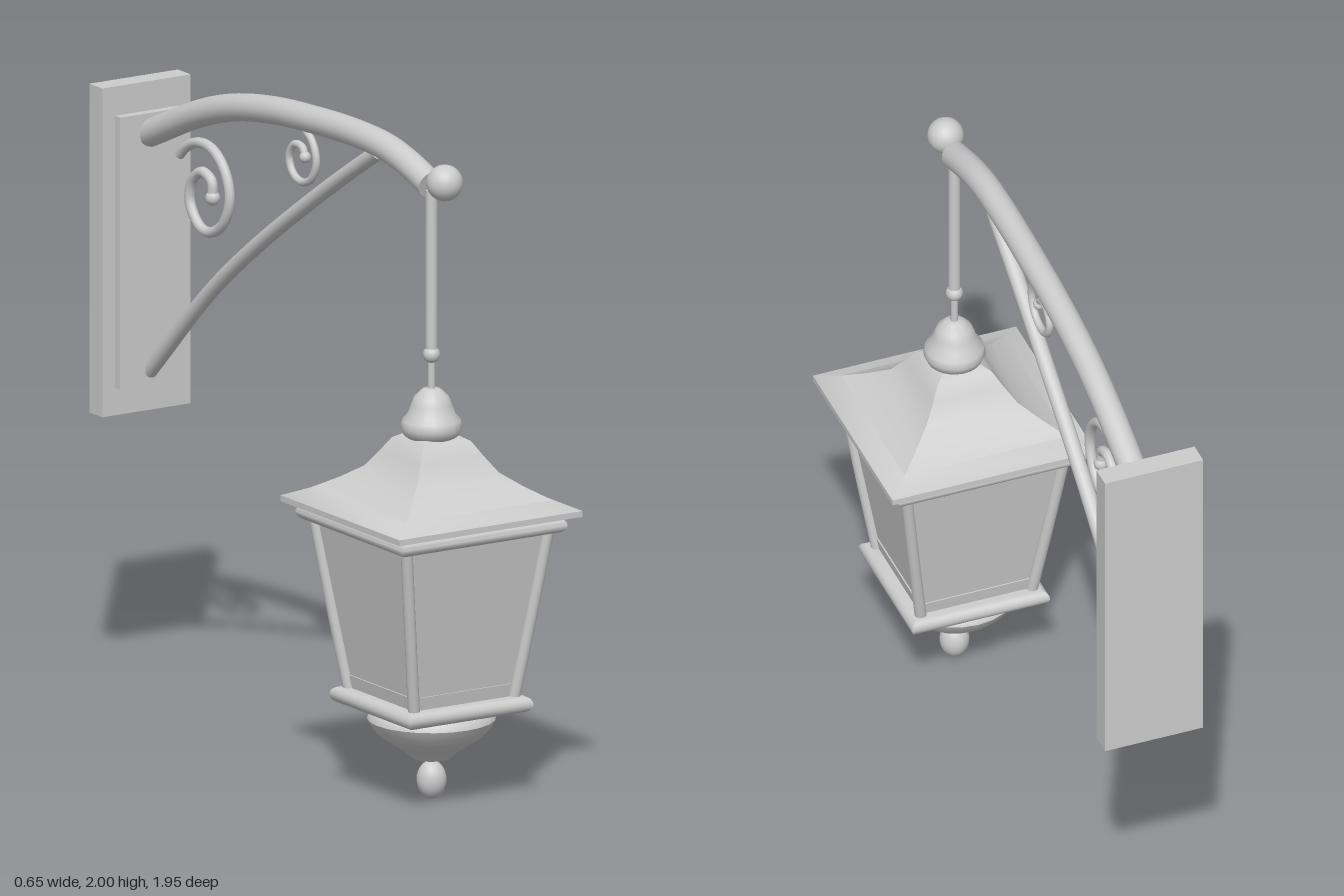
import * as THREE from 'three';
import { toCreasedNormals } from 'three/addons/utils/BufferGeometryUtils.js';

const LAMP_Z = 0.65;

export function createModel() {
  const model = new THREE.Group();
  model.name = 'wallLantern';
  const metal = new THREE.MeshStandardMaterial({ color: 0xcccccc });
  metal.name = 'light grey';

  function add(name, geometry, x = 0, y = 0, z = 0, parent = model) {
    const mesh = new THREE.Mesh(geometry, metal);
    mesh.name = name;
    mesh.position.set(x, y, z);
    parent.add(mesh);
    return mesh;
  }

  // Round bar along a smooth path, closed with a disc at each end
  function bar(name, points, radius, segments = 32, sides = 16, parent = model) {
    const curve = new THREE.CatmullRomCurve3(points);
    const group = new THREE.Group();
    group.name = name;
    parent.add(group);
    add(name + 'Tube', new THREE.TubeGeometry(curve, segments, radius, sides), 0, 0, 0, group);
    for (const t of [0, 1]) {
      const p = curve.getPointAt(t);
      const out = curve.getTangentAt(t).multiplyScalar(t ? 1 : -1);
      const cap = add(name + 'Cap', new THREE.CircleGeometry(radius, sides), p.x, p.y, p.z, group);
      cap.quaternion.setFromUnitVectors(new THREE.Vector3(0, 0, 1), out);
    }
  }
  const sidePath = (pairs) => pairs.map(([z, y]) => new THREE.Vector3(0, y, z));

  // Profiles are [half width or radius, height], listed from the bottom up
  function square(name, profile, parent) {
    const pts = profile.map(([r, y]) => new THREE.Vector2(r * Math.SQRT2, y));
    const geo = new THREE.LatheGeometry(pts, 4, Math.PI / 4);
    return add(name, toCreasedNormals(geo, 0.6), 0, 0, 0, parent);
  }
  function turned(name, profile, parent) {
    const pts = profile.map(([r, y]) => new THREE.Vector2(r, y));
    return add(name, toCreasedNormals(new THREE.LatheGeometry(pts, 24), 0.7), 0, 0, 0, parent);
  }
  // Square rim with a rounded edge
  function rim(name, half, y0, y1, parent) {
    const r = (y1 - y0) / 2;
    const profile = [[0, y0]];
    for (let i = 0; i <= 8; i++) {
      const a = -Math.PI / 2 + (i / 8) * Math.PI;
      profile.push([half - r + Math.cos(a) * r, y0 + r + Math.sin(a) * r]);
    }
    profile.push([0, y1]);
    square(name, profile, parent);
  }

  // Wall mount
  add('wallPlate', new THREE.BoxGeometry(0.314, 1.01, 0.07), 0, 1.365, -0.942);
  add('innerPlate', new THREE.BoxGeometry(0.224, 0.835, 0.03), 0, 1.3625, -0.894);

  // Arm, end ball and brace
  bar('arm', sidePath([[0.645, 1.886], [0.52, 1.926], [0.4, 1.95], [0.22, 1.957], [0, 1.948],
    [-0.2, 1.932], [-0.41, 1.897], [-0.6, 1.84], [-0.89, 1.715]]), 0.042, 48, 20);
  add('endBall', new THREE.SphereGeometry(0.055, 24, 16), 0, 1.907, 0.722);
  bar('brace', sidePath([[0.36, 1.925], [0.18, 1.815], [0, 1.70], [-0.3, 1.497],
    [-0.55, 1.305], [-0.89, 0.985]]), 0.024);

  // Scrolls between arm and brace
  const largeScroll = [[-0.545, 1.59], [-0.55, 1.638], [-0.6, 1.658], [-0.656, 1.62], [-0.67, 1.555],
    [-0.62, 1.49], [-0.56, 1.48], [-0.485, 1.525], [-0.452, 1.605], [-0.478, 1.685],
    [-0.545, 1.738], [-0.625, 1.743], [-0.69, 1.715], [-0.725, 1.685]];
  const smallScroll = [[-0.04, 1.823], [-0.055, 1.85], [-0.1, 1.85], [-0.127, 1.807], [-0.106, 1.76],
    [-0.058, 1.743], [-0.006, 1.763], [0.021, 1.817], [0.005, 1.87], [-0.032, 1.902],
    [-0.085, 1.914], [-0.135, 1.91]];
  bar('largeScroll', sidePath(largeScroll), 0.016, 90, 10);
  add('largeScrollEye', new THREE.SphereGeometry(0.023, 12, 10), 0, 1.59, -0.545);
  bar('smallScroll', sidePath(smallScroll), 0.012, 80, 10);
  add('smallScrollEye', new THREE.SphereGeometry(0.018, 12, 10), 0, 1.823, -0.04);

  // Lantern, built around its own vertical axis
  const lantern = new THREE.Group();
  lantern.name = 'lantern';
  lantern.position.z = LAMP_Z;
  model.add(lantern);

  // Hanger
  add('hangingRod', new THREE.CylinderGeometry(0.018, 0.018, 0.5, 16), 0, 1.62, 0, lantern);
  add('rodBead', new THREE.SphereGeometry(0.026, 16, 12), 0, 1.365, 0, lantern);
  add('thinRod', new THREE.CylinderGeometry(0.011, 0.011, 0.12, 12), 0, 1.3, 0, lantern);

  // Cap and roof
  turned('cap', [[0, 1.1], [0.06, 1.103], [0.083, 1.12], [0.093, 1.143], [0.088, 1.165], [0.071, 1.185],
    [0.062, 1.212], [0.052, 1.236], [0.027, 1.26], [0, 1.264]], lantern);
  square('roof', [[0, 0.89], [0.325, 0.89], [0.325, 0.908], [0.26, 0.937], [0.2, 0.973], [0.145, 1.013],
    [0.113, 1.06], [0.085, 1.105], [0.05, 1.125], [0, 1.13]], lantern);
  square('roofNeck', [[0.265, 0.87], [0.265, 0.892]], lantern);
  rim('upperRim', 0.293, 0.838, 0.884, lantern);

  // Glass with a low rail at its foot, and four slanting corner posts
  square('glass', [[0.172, 0.32], [0.208, 0.56], [0.252, 0.85]], lantern);
  square('footRail', [[0.176, 0.32], [0.184, 0.37], [0.174, 0.37]], lantern);
  for (const sx of [-1, 1]) {
    for (const sz of [-1, 1]) {
      const path = [[0.177, 0.32], [0.212, 0.56], [0.252, 0.85]]
        .map(([r, y]) => new THREE.Vector3(sx * r, y, sz * r));
      bar('cornerPost', path, 0.018, 8, 12, lantern);
    }
  }

  // Base, bowl and drop finial
  rim('lowerRim', 0.22, 0.281, 0.33, lantern);
  turned('bowl', [[0, 0.128], [0.058, 0.128], [0.082, 0.15], [0.115, 0.172], [0.152, 0.196], [0.178, 0.222],
    [0.193, 0.25], [0.187, 0.268], [0.165, 0.283], [0, 0.285]], lantern);
  add('finialPin', new THREE.CylinderGeometry(0.012, 0.012, 0.03, 10), 0, 0.12, 0, lantern);
  add('dropFinial', new THREE.SphereGeometry(0.045, 20, 14), 0, 0.06, 0, lantern).scale.y = 1.3;

  return model;
}
